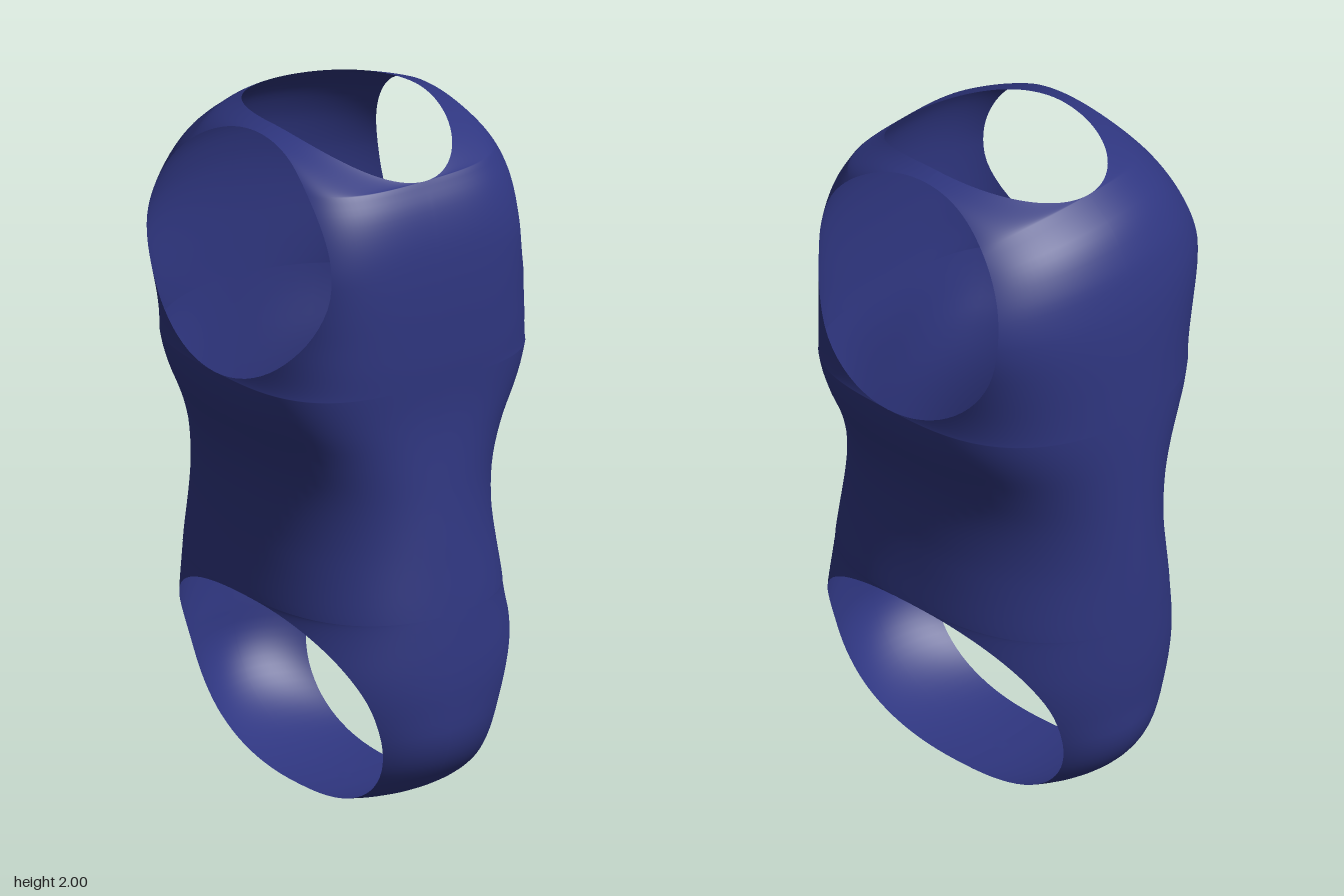
import * as THREE from 'three';
import { mergeVertices } from 'three/addons/utils/BufferGeometryUtils.js';

// Smooth curve through [height, value] pairs
function profile(pairs) {
  const c = new THREE.CubicInterpolant(pairs.map(p => p[0]), pairs.map(p => p[1]), 1, new Float32Array(1));
  return y => c.evaluate(y)[0];
}

const Z0 = 0.02;                       // depth of the side seam
const LEG = { y: 0.323, rz: 0.43, ry: 0.31, q: 0.85 };
const ARM = { y: 1.648, rz: 0.373, ry: 0.338, q: 1 };
const NECK_ANGLE = Math.PI / 4;        // armhole angle level with the neck edge

// Half widths at the side seam and along the leg opening
const waist = profile([[0.633, 0.36], [0.75, 0.346], [0.85, 0.34], [1, 0.35], [1.1, 0.378], [1.2, 0.42], [1.26, 0.437], [1.31, 0.445]]);
const legEdge = profile([[0, 0.155], [0.1, 0.165], [0.2, 0.178], [0.3, 0.2], [0.4, 0.235], [0.5, 0.285], [0.633, 0.36]]);

// Each panel: depth at the centre, armhole half width, and cross-section
// exponents (bulge towards the centre, fullness towards the sides)
const panels = [
  { // front
    dir: 1, neckRz: 0.37, neckY: 1.89,
    depth: profile([[0.323, 0.507], [0.42, 0.51], [0.6, 0.5], [0.8, 0.48], [1, 0.46], [1.2, 0.448], [1.4, 0.455],
      [1.65, 0.453], [1.75, 0.442], [1.83, 0.42], [1.89, 0.39]]),
    armEdge: profile([[1.31, 0.445], [1.4, 0.41], [1.5, 0.365], [1.6, 0.333], [1.7, 0.324], [1.9, 0.322], [1.986, 0.295]]),
    bulge: profile([[0, 2], [0.35, 2], [0.64, 2.2], [0.95, 2.3], [1.31, 3.2], [1.65, 3.4], [2, 3]]),
    fullness: profile([[0, 2.8], [0.64, 2.8], [0.9, 2.4], [1.1, 2.6], [1.31, 3.2], [2, 3.2]]),
  },
  { // back
    dir: -1, neckRz: 0.34, neckY: 1.96,
    depth: profile([[0.323, -0.485], [0.45, -0.497], [0.6, -0.503], [1, -0.505], [1.4, -0.505], [1.6, -0.497],
      [1.7, -0.483], [1.8, -0.455], [1.9, -0.395], [1.96, -0.32]]),
    armEdge: profile([[1.31, 0.445], [1.4, 0.425], [1.5, 0.41], [1.65, 0.398], [1.75, 0.378], [1.9, 0.335], [1.986, 0.295]]),
    bulge: profile([[0, 2], [2, 2]]),
    fullness: profile([[0, 2.6], [0.64, 2.6], [0.9, 2.2], [1.15, 2.5], [1.31, 3], [2, 3]]),
  },
];

// Point on an opening seen from the side
function onHole(h, a, dir) {
  const c = Math.max(0, Math.cos(a)), s = Math.sin(a);
  return { z: Z0 + dir * h.rz * c ** h.q, y: h.y + h.ry * Math.sign(s) * Math.abs(s) ** h.q };
}

// Rows of a panel from crotch to shoulder: inner point (xi, yc, zc), outer edge (xe, ye, ze)
function panelRows({ dir, neckRz, neckY, depth, armEdge }) {
  const rows = [];
  const add = (xi, yc, zc, xe, ye, ze) => rows.push({ xi, yc, zc, xe, ye, ze });
  const each = (n, from, to, fn) => {
    for (let i = 0; i < n; i++) fn(from + (to - from) * i / n);
  };
  const Q = Math.PI / 2;
  // under the crotch
  const crotch = { y: LEG.y, rz: Math.abs(depth(LEG.y) - Z0), ry: LEG.y, q: 0.9 };
  each(20, -Q, 0, a => {
    const e = onHole(LEG, a, dir), c = onHole(crotch, a, dir);
    add(0, c.y, c.z, legEdge(e.y), e.y, e.z);
  });
  // hips beside the leg opening
  each(20, 0, Q, a => {
    const e = onHole(LEG, a, dir);
    add(0, e.y, depth(e.y), legEdge(e.y), e.y, e.z);
  });
  // closed waist
  each(24, LEG.y + LEG.ry, ARM.y - ARM.ry, y => add(0, y, depth(y), waist(y), y, Z0));
  // chest below and beside the armhole
  each(18, -Q, 0, a => {
    const e = onHole(ARM, a, dir);
    add(0, e.y, depth(e.y), armEdge(e.y), e.y, e.z);
  });
  each(14, 0, NECK_ANGLE, a => {
    const e = onHole(ARM, a, dir);
    const yc = ARM.y + (neckY - ARM.y) * Math.sin(a) / Math.sin(NECK_ANGLE);
    add(0, yc, depth(yc), armEdge(e.y), e.y, e.z);
  });
  // shoulder straps beside the neck opening
  for (let i = 0; i <= 24; i++) {
    const t = i / 24, c = Math.max(0, Math.cos(t * Q));
    const e = onHole(ARM, NECK_ANGLE + (Q - NECK_ANGLE) * t, dir);
    add(0.245 * Math.sin(t * Q), 2 - (2 - neckY) * c ** 1.8, Z0 + dir * neckRz * c, armEdge(e.y), e.y, e.z);
  }
  return rows;
}

// Points of one row, following a rounded cross-section out to the edge
function rowPoints(r, panel, sign, cols) {
  const px = 2 / panel.bulge(r.yc), pz = 2 / panel.fullness(r.yc);
  const span = Math.abs(r.zc - Z0);
  const ratio = span < 1e-4 ? 0.9 : Math.min(0.985, Math.abs(r.ze - Z0) / span);
  const end = Math.acos(ratio ** (1 / pz));
  const points = [];
  for (let j = 0; j <= cols; j++) {
    const s = j / cols, phi = end * s * s * (3 - 2 * s);
    const across = (Math.sin(phi) / Math.sin(end)) ** px;
    const arc = (Math.max(0, Math.cos(phi)) ** pz - ratio) / (1 - ratio);
    // straps run flat from the neck to the armhole
    const k = j === cols ? 0 : THREE.MathUtils.lerp(arc, 1 - across, r.xi / 0.245);
    points.push(sign * (r.xi + (r.xe - r.xi) * across), r.ye + (r.yc - r.ye) * k, r.ze + (r.zc - r.ze) * k);
  }
  return points;
}

export function createModel() {
  const cols = 24, positions = [], index = [];
  for (const panel of panels) {
    const rows = panelRows(panel);
    for (const sign of [1, -1]) {
      const base = positions.length / 3;
      for (const r of rows) positions.push(...rowPoints(r, panel, sign, cols));
      for (let i = 0; i < rows.length - 1; i++) {
        for (let j = 0; j < cols; j++) {
          const a = base + i * (cols + 1) + j, b = a + 1, c = a + cols + 1, d = c + 1;
          if (sign * panel.dir > 0) index.push(a, b, d, a, d, c);
          else index.push(a, d, b, a, c, d);
        }
      }
    }
  }
  let geometry = new THREE.BufferGeometry();
  geometry.setAttribute('position', new THREE.Float32BufferAttribute(positions, 3));
  geometry.setIndex(index);
  // weld the centre, side, crotch and shoulder seams
  geometry = mergeVertices(geometry, 1e-4);
  geometry.computeVertexNormals();

  const fabric = new THREE.MeshStandardMaterial({ color: 0x2f3680, side: THREE.DoubleSide });
  const bodysuit = new THREE.Mesh(geometry, fabric);
  bodysuit.name = 'sleevelessBodysuit';
  const group = new THREE.Group();
  group.name = 'swimsuit';
  group.add(bodysuit);
  return group;
}
